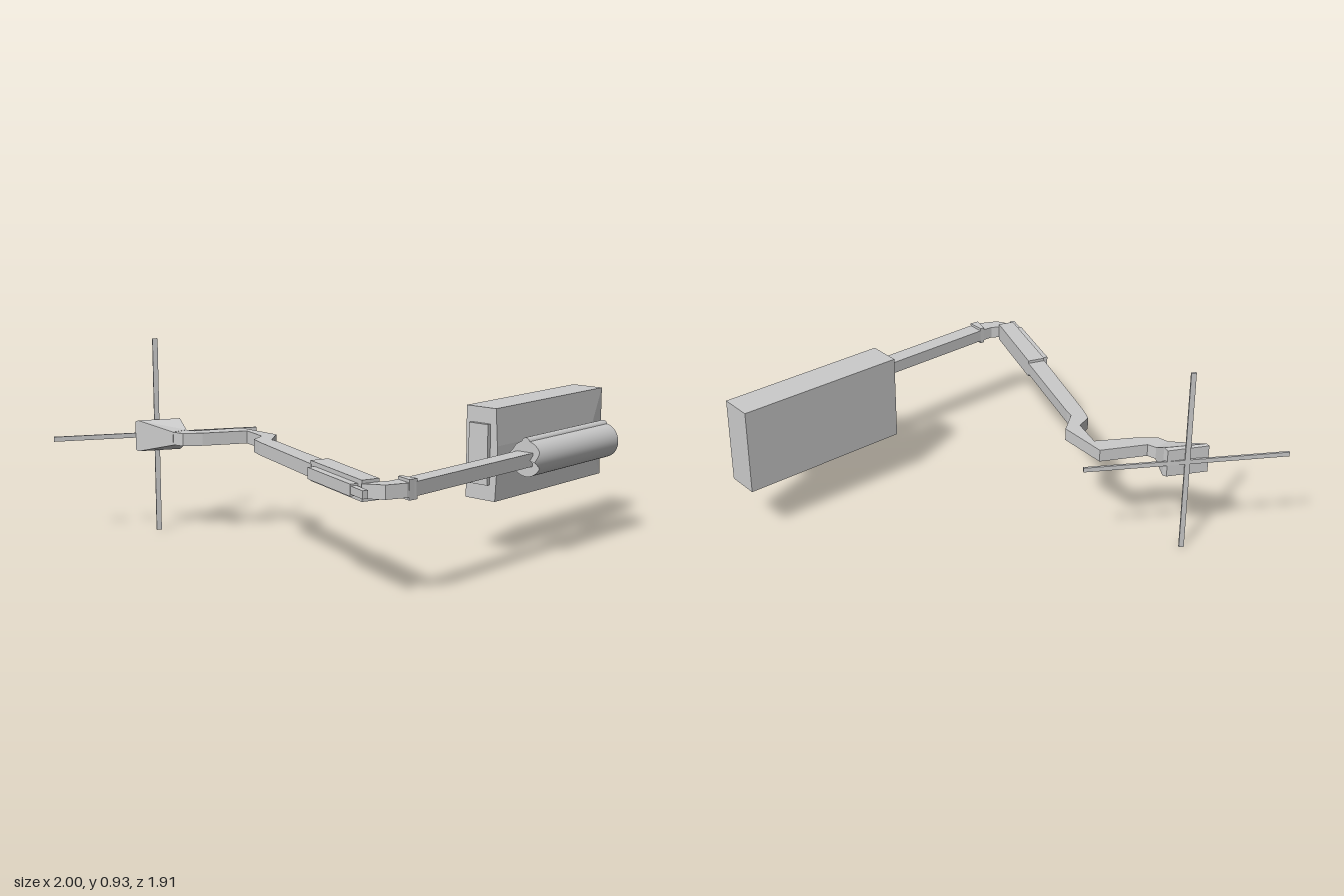
import * as THREE from 'three';

const MID = 0.467; // height of the arm's centre line

const mat = new THREE.MeshStandardMaterial({ color: 0xcccccc, flatShading: true });
const smoothMat = new THREE.MeshStandardMaterial({ color: 0xcccccc });

// Solid through four-cornered sections that follow each other along +x
function loft(sections) {
  const pos = [];
  const tri = (a, b, c) => pos.push(...a, ...b, ...c);
  for (let s = 0; s < sections.length - 1; s++) {
    const a = sections[s], b = sections[s + 1];
    for (let i = 0; i < 4; i++) {
      const j = (i + 1) % 4;
      tri(a[i], a[j], b[i]);
      tri(a[j], b[j], b[i]);
    }
  }
  const f = sections[0], l = sections[sections.length - 1];
  tri(f[0], f[2], f[1]); tri(f[0], f[3], f[2]);
  tri(l[0], l[1], l[2]); tri(l[0], l[2], l[3]);
  const g = new THREE.BufferGeometry();
  g.setAttribute('position', new THREE.Float32BufferAttribute(pos, 3));
  g.computeVertexNormals();
  return g;
}

// Section with a near edge (x0, z0) and far edge (x1, z1), h above and below the centre line
const section = (x0, z0, x1, z1, h) => [
  [x0, MID + h, z0], [x1, MID + h, z1], [x1, MID - h, z1], [x0, MID - h, z0]];

// Plan outline of (x, z) points raised to a slab around the centre line
function slab(points, height) {
  const shape = new THREE.Shape(points.map(([x, z]) => new THREE.Vector2(x, -z)));
  const g = new THREE.ExtrudeGeometry(shape, { depth: height, bevelEnabled: false });
  return g.rotateX(-Math.PI / 2).translate(0, MID - height / 2, 0);
}

// Box from its x, y and z limits
function block(x0, x1, y0, y1, z0, z1) {
  return new THREE.BoxGeometry(x1 - x0, y1 - y0, z1 - z0)
    .translate((x0 + x1) / 2, (y0 + y1) / 2, (z0 + z1) / 2);
}

export function createModel() {
  const model = new THREE.Group();
  const add = (name, geometry, material = mat) => {
    const m = new THREE.Mesh(geometry, material);
    m.name = name;
    model.add(m);
    return m;
  };

  // Body box with a shallow raised side towards the shoulder
  add('bodyBox', loft([
    section(0.612, -0.955, 0.612, -0.105, 0.21),
    section(0.774, -0.955, 0.774, -0.105, 0.21),
    section(0.784, -0.86, 0.784, -0.105, 0.042),
  ]));
  add('bodyFrontPlate', block(0.64, 0.745, 0.33, 0.605, -0.11, -0.085));
  add('shoulderBracket', block(0.77, 0.86, 0.43, 0.505, -0.62, -0.50));

  // Shoulder sleeve, its front rim drawn out to a point on each side
  const sleeve = new THREE.CylinderGeometry(0.08, 0.08, 0.62, 64)
    .rotateX(Math.PI / 2).translate(0.918, MID, -0.445);
  const p = sleeve.attributes.position;
  for (let i = 0; i < p.count; i++) {
    const rim = Math.abs(p.getX(i) - 0.918) > 0.05;
    if (p.getZ(i) > -0.2 && rim) {
      const reach = Math.max(0, 1 - Math.abs(p.getY(i) - MID) / 0.035);
      p.setZ(i, p.getZ(i) + 0.05 * reach);
    }
  }
  add('shoulderSleeve', sleeve, smoothMat);
  add('sleeveRod', new THREE.CylinderGeometry(0.022, 0.022, 0.62, 20)
    .rotateX(Math.PI / 2).translate(0.914, 0.539, -0.445), smoothMat);
  add('sleeveEndCap', block(0.87, 0.95, 0.435, 0.5, -0.77, -0.74));

  // Upper arm and elbow
  add('upperArm', block(0.87, 0.953, 0.437, 0.497, -0.2, 0.66));
  add('elbowHinge', slab([[0.87, 0.655], [0.953, 0.655], [0.948, 0.70], [0.868, 0.675]], 0.085));
  add('elbow', slab([[0.87, 0.66], [0.953, 0.66], [0.945, 0.71], [0.905, 0.795],
    [0.82, 0.84], [0.84, 0.765], [0.865, 0.725]], 0.06));

  // Forearm sleeve and the thin rail on its outer side
  add('forearmSleeve', slab([[0.42, 0.598], [0.845, 0.762], [0.82, 0.838], [0.392, 0.68]], 0.088));
  add('forearmRail', slab([[0.432, 0.69], [0.79, 0.825], [0.775, 0.858], [0.42, 0.727]], 0.05));
  add('railTip', slab([[0.76, 0.82], [0.878, 0.868], [0.87, 0.89], [0.75, 0.846]], 0.034));

  // Forearm running into the cranked wrist
  add('forearmAndWrist', slab([
    [0.43, 0.602], [-0.08, 0.405], [-0.12, 0.395], [-0.20, 0.285], [-0.45, 0.27],
    [-0.555, 0.475], [-0.605, 0.487], [-0.605, 0.57], [-0.54, 0.56], [-0.48, 0.492],
    [-0.37, 0.31], [-0.22, 0.36], [-0.19, 0.44], [-0.12, 0.475], [0.40, 0.684],
  ], 0.06));

  // Flared head that carries the crossed rods
  add('head', loft([
    section(-0.70, 0.457, -0.79, 0.635, 0.068),
    section(-0.675, 0.457, -0.775, 0.632, 0.074),
    section(-0.598, 0.486, -0.598, 0.57, 0.031),
  ]));

  // Crossed rods in the plane of the head's open end
  const cross = new THREE.Group();
  cross.name = 'crossedRods';
  cross.position.set(-0.746, 0, 0.541);
  cross.rotation.y = Math.atan2(0.83, 0.51);
  const rods = [['levelRod', 0.97, 0.022, MID], ['uprightRod', 0.024, 0.925, 0.4625]];
  for (const [name, w, h, y] of rods) {
    const rod = new THREE.Mesh(new THREE.BoxGeometry(w, h, 0.011), mat);
    rod.name = name;
    rod.position.y = y;
    cross.add(rod);
  }
  model.add(cross);

  return model;
}
